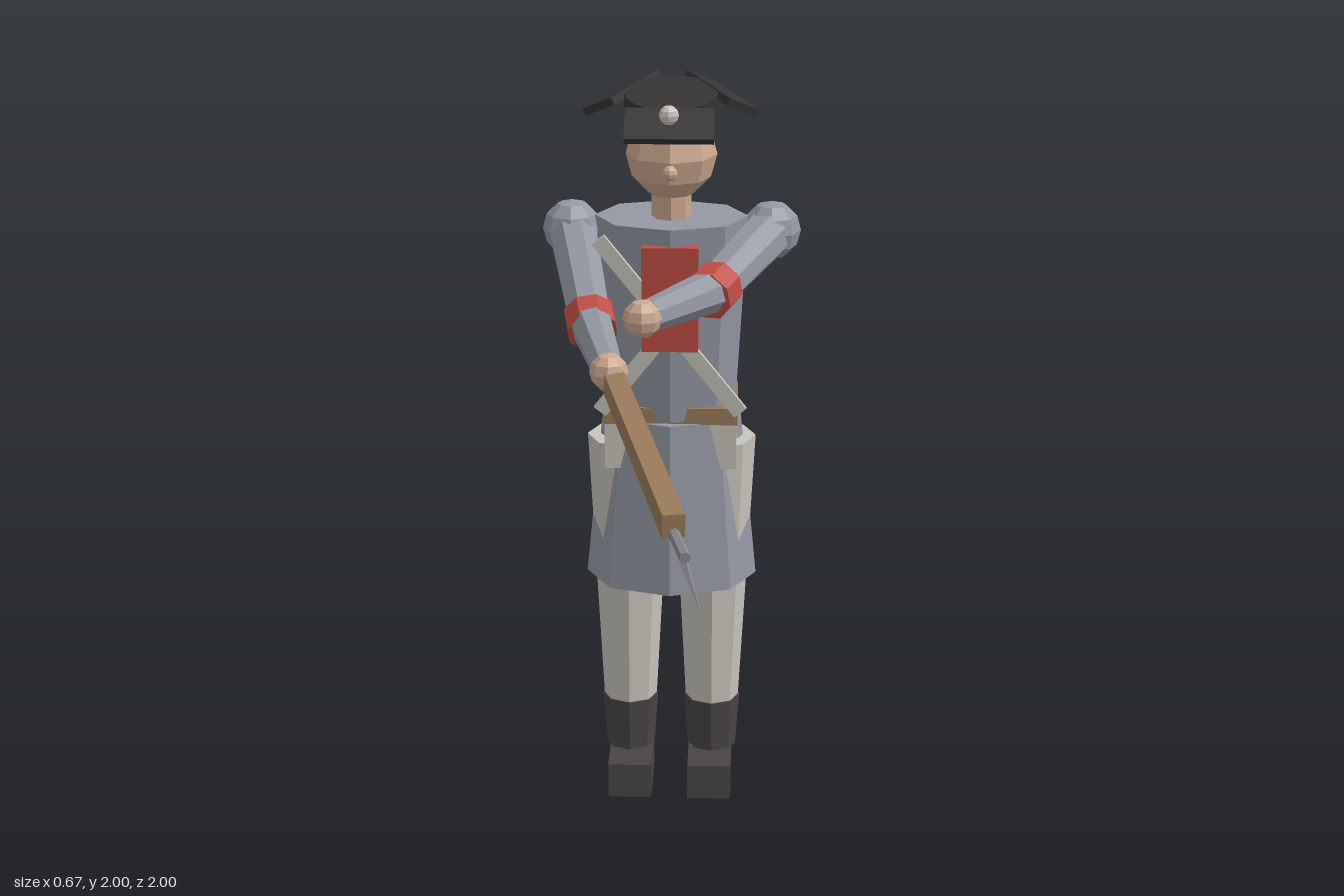
import * as THREE from 'three';

const mat = (name, color) => {
  const m = new THREE.MeshStandardMaterial({ color, flatShading: true });
  m.name = name;
  return m;
};

export function createModel() {
  const coat = mat('coat grey', 0x9498a3);
  const cream = mat('cream cloth', 0xc6c4ba);
  const skin = mat('skin', 0xcda98f);
  const red = mat('red facing', 0xc14e43);
  const wood = mat('brown leather and wood', 0x9a7a58);
  const black = mat('hat black', 0x363333);
  const boot = mat('boot black', 0x4a4545);
  const steel = mat('steel', 0x85878c);

  const model = new THREE.Group();
  const v = (x, y, z) => new THREE.Vector3(x, y, z);
  const UP = v(0, 1, 0);
  const CZ = -0.815; // depth of the body axis

  const add = (name, geo, material, pos, parent = model) => {
    const m = new THREE.Mesh(geo, material);
    m.name = name;
    m.position.set(...pos);
    parent.add(m);
    return m;
  };
  const box = (name, size, material, pos, parent) =>
    add(name, new THREE.BoxGeometry(...size), material, pos, parent);
  const ball = (name, r, material, pos, parent) =>
    add(name, new THREE.SphereGeometry(r, 8, 6), material, pos, parent);
  // Tapered upright tube
  const tube = (name, rTop, rBottom, y0, y1, x, z, material, sides = 8) =>
    add(name, new THREE.CylinderGeometry(rTop, rBottom, y1 - y0, sides), material, [x, (y0 + y1) / 2, z]);
  // Tapered tube from point a to point b
  const limb = (name, a, b, ra, rb, material, sides = 8) => {
    const m = add(name, new THREE.CylinderGeometry(rb, ra, a.distanceTo(b), sides), material,
      a.clone().add(b).multiplyScalar(0.5).toArray());
    m.quaternion.setFromUnitVectors(UP, b.clone().sub(a).normalize());
    return m;
  };

  // Legs, boots and shoes
  for (const s of [-1, 1]) {
    const x = s * 0.114;
    box('shoe', [0.12, 0.1, 0.225], boot, [s * 0.11, 0.05, -0.765]);
    tube('boot', 0.077, 0.067, 0.095, 0.25, x, CZ, boot);
    tube('trouserLeg', 0.113, 0.073, 0.24, 1.02, x, CZ, cream);
  }
  box('hips', [0.35, 0.14, 0.225], cream, [0, 1.03, CZ]);

  // Coat skirt, torso and belt
  tube('coatSkirt', 0.185, 0.232, 0.62, 1.09, 0, CZ, coat).scale.z = 0.79;
  box('belt', [0.355, 0.045, 0.235], wood, [0, 1.11, -0.812]);
  const torso = tube('torso', 0.2, 0.17, 1.1, 1.636, 0, -0.788, coat);
  torso.scale.z = 0.68;
  torso.rotation.x = 0.045;

  // Crossed straps and chest panel
  for (const s of [-1, 1]) {
    const strap = new THREE.Group();
    strap.name = 'crossStrap';
    strap.position.set(0, 1.365, -0.667);
    strap.rotation.x = 0.055;
    box('strap', [0.04, 0.6, 0.015], cream, [0, 0, 0], strap).rotation.z = s * 0.665;
    model.add(strap);
  }
  box('chestPanel', [0.147, 0.285, 0.02], red, [0, 1.443, -0.656]).rotation.x = 0.08;

  // Neck, head and nose
  tube('neck', 0.052, 0.052, 1.58, 1.72, 0, -0.775, skin);
  ball('head', 0.118, skin, [0, 1.803, -0.755]);
  ball('nose', 0.02, skin, [0, 1.78, -0.632]);

  // Three-cornered hat, tipped forward
  const hat = new THREE.Group();
  hat.name = 'hat';
  hat.position.set(0, 1.938, -0.725);
  hat.rotation.x = 0.17;
  model.add(hat);
  add('crown', new THREE.CylinderGeometry(0.12, 0.12, 0.06, 16), black, [0, 0, 0], hat);
  for (let i = 0; i < 3; i++) {
    const side = new THREE.Group();
    side.name = 'hatSide';
    side.rotation.y = (i * Math.PI * 2) / 3;
    box('brimFlap', [0.225, 0.02, 0.1], black, [0, 0, 0.147], side).rotation.x = 0.5;
    hat.add(side);
  }
  ball('pompom', 0.025, cream, [0, 1.945, -0.557]);

  // Arms: shoulder, elbow, hand
  const arms = [
    ['left', v(0.26, 1.595, -0.79), v(0.115, 1.515, -0.5), v(-0.052, 1.528, -0.2)],
    ['right', v(-0.26, 1.595, -0.79), v(-0.197, 1.425, -0.51), v(-0.132, 1.4, -0.178)],
  ];
  for (const [side, shoulder, elbow, hand] of arms) {
    ball(side + 'Shoulder', 0.077, coat, shoulder.toArray());
    limb(side + 'UpperArm', shoulder, elbow, 0.066, 0.056, coat);
    limb(side + 'Forearm', elbow, elbow.clone().lerp(hand, 0.92), 0.056, 0.04, coat);
    const d = elbow.clone().sub(shoulder).normalize().multiplyScalar(0.035);
    limb(side + 'ElbowBand', elbow.clone().sub(d), elbow.clone().add(d), 0.066, 0.066, red);
    ball(side + 'Hand', 0.048, skin, hand.toArray());
  }

  // Musket stock, muzzle and bayonet
  const butt = v(-0.222, 1.415, -0.64);
  const muzzle = v(0.052, 1.328, 0.655);
  const stock = box('musketStock', [0.05, 0.055, butt.distanceTo(muzzle)], wood,
    butt.clone().add(muzzle).multiplyScalar(0.5).toArray());
  stock.lookAt(muzzle);
  limb('muzzle', v(0.03, 1.315, 0.55), v(0.08, 1.307, 0.78), 0.013, 0.013, steel, 6);
  limb('bayonet', v(0.065, 1.289, 0.68), v(0.12, 1.267, 1.0), 0.013, 0.0005, steel, 4);

  return model;
}
